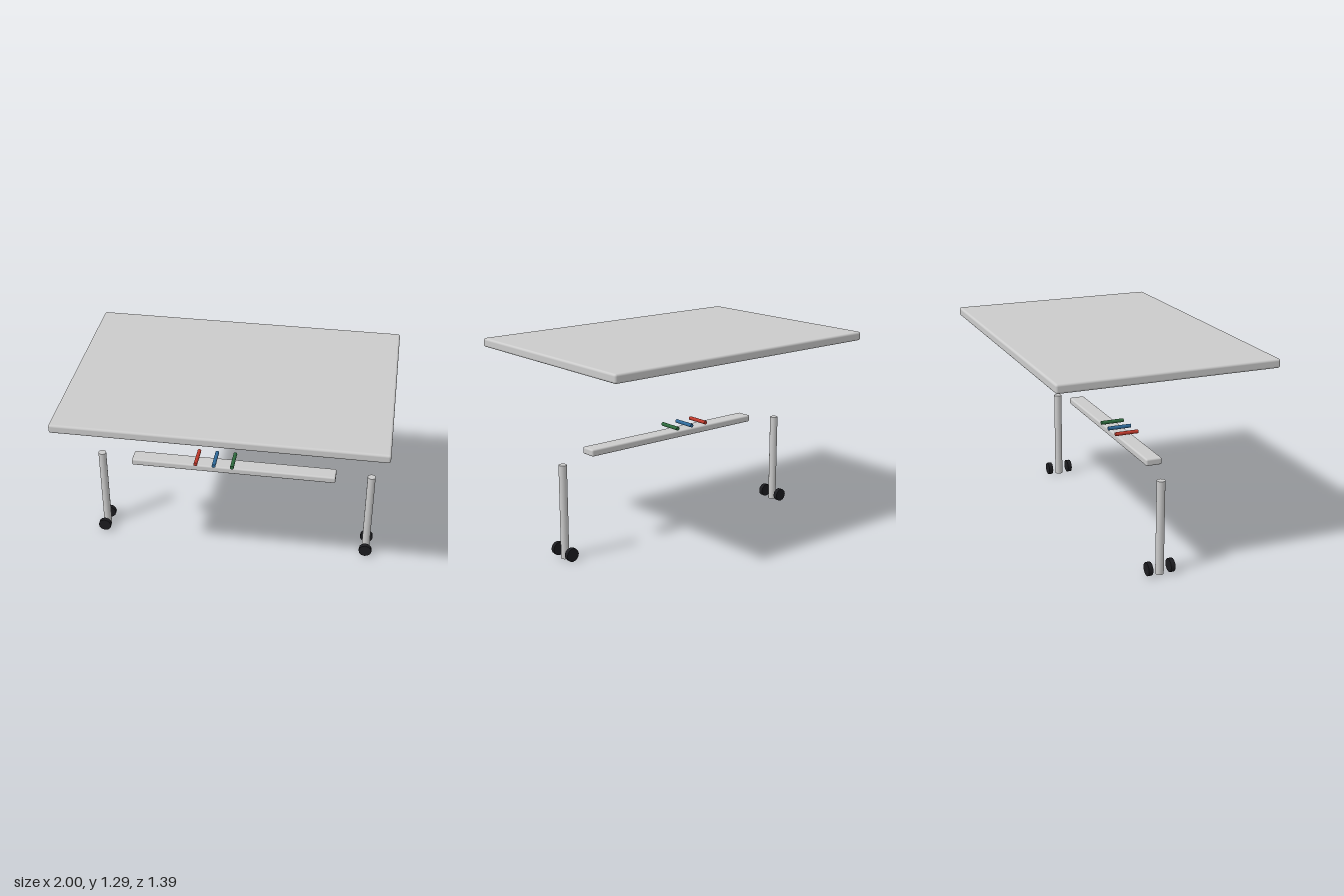
import * as THREE from 'three';
import { RoundedBoxGeometry } from 'three/addons/geometries/RoundedBoxGeometry.js';

const material = (color) => new THREE.MeshStandardMaterial({ color });

export function createModel() {
  const model = new THREE.Group();
  model.name = 'whiteboardTable';
  const grey = material(0xcccccc);
  const black = material(0x1c1c20);

  const add = (name, geometry, mat, x, y, z) => {
    const mesh = new THREE.Mesh(geometry, mat);
    mesh.name = name;
    mesh.position.set(x, y, z);
    model.add(mesh);
    return mesh;
  };

  // Board panel and the pen tray below it
  add('boardPanel', new RoundedBoxGeometry(2, 0.056, 1.39, 3, 0.014), grey, 0, 1.267, 0);
  add('penTray', new RoundedBoxGeometry(1.342, 0.045, 0.105, 3, 0.011), grey, 0, 0.629, 0.045);

  // Marker pens lying front to back above the tray
  const penGeometry = new THREE.CylinderGeometry(0.0125, 0.0125, 0.156, 12).rotateX(Math.PI / 2);
  [['redPen', 0xc0392b, -0.24], ['bluePen', 0x2f6c9e, -0.12], ['greenPen', 0x2e6b3e, 0]]
    .forEach(([name, color, x]) => add(name, penGeometry, material(color), x, 0.677, 0.045));

  // Round legs, each with a pair of caster wheels
  const legZ = -0.015;
  const legGeometry = new THREE.CylinderGeometry(0.026, 0.026, 0.604, 16);
  const wheelGeometry = new THREE.CylinderGeometry(0.043, 0.043, 0.028, 12).rotateX(Math.PI / 2);
  for (const [side, sx] of [['left', 1], ['right', -1]]) {
    add(side + 'Leg', legGeometry, grey, sx * 0.9, 0.302, legZ);
    for (const [end, sz] of [['Front', 1], ['Back', -1]]) {
      add(side + end + 'Wheel', wheelGeometry, black, sx * 0.9, 0.043, legZ + sz * 0.073);
    }
  }
  return model;
}
